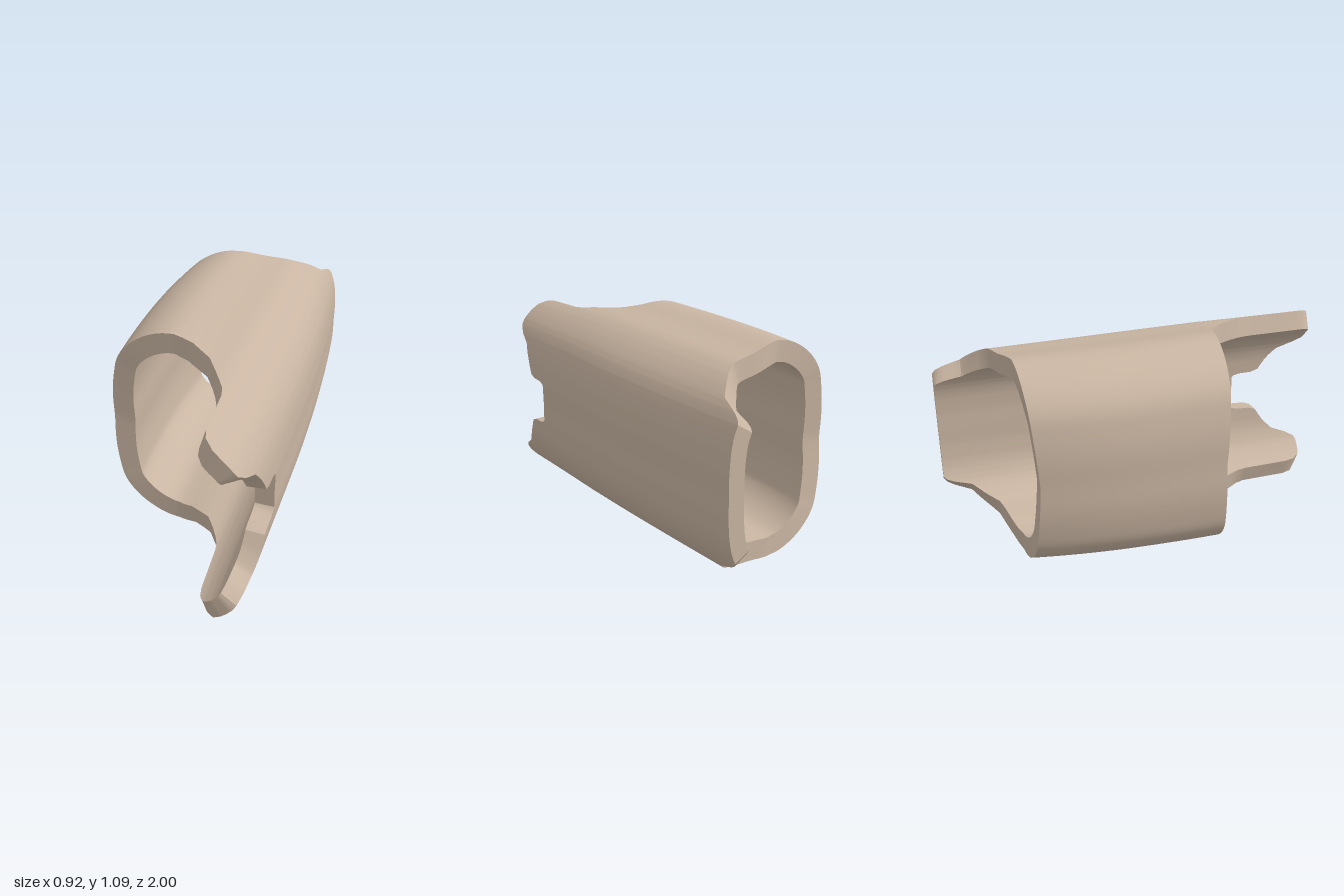
import * as THREE from 'three';
import { toCreasedNormals } from 'three/addons/utils/BufferGeometryUtils.js';

const MID = 0.5435; // height of the mirror plane
const LENGTH_STEPS = 24;

// Upper half of the outer cross-section, from the right middle over the top to the left middle
const section = new THREE.CatmullRomCurve3([
  [0.455, 0.545], [0.455, 0.66], [0.435, 0.8], [0.38, 0.91], [0.3, 0.985], [0.205, 1.035], [0.05, 1.06],
  [-0.12, 1.087], [-0.23, 1.065], [-0.34, 1.0], [-0.415, 0.91], [-0.445, 0.8], [-0.46, 0.68], [-0.46, 0.545],
].map(([x, y]) => new THREE.Vector3(x, y, 0)));
const LAST = 13;

// End outlines: [position along the section, z]
const frontEdge = [
  [0, 0.61], [0.8, 0.61], [0.9, 0.62], [0.98, 0.65], [1, 0.72], [1.1, 0.76], [1.57, 0.8], [2.2, 0.86],
  [2.55, 0.94], [2.9, 0.99], [3.2, 1], [3.9, 1], [4.4, 0.99], [4.85, 0.95], [4.97, 0.9], [5, 0.65],
  [5.1, 0.6], [5.3, 0.55], [5.8, 0.42], [6.4, 0.35], [7, 0.325], [13, 0.29],
];
const backEdge = [
  [0, -1], [2.55, -1], [2.75, -0.985], [2.95, -0.95], [3.35, -0.86], [4.5, -0.77], [5, -0.735],
  [6, -0.7], [7, -0.655], [13, -0.6],
];

function lookUp(table, u) {
  const k = Math.max(1, table.findIndex(([p]) => p >= u));
  const [a, za] = table[k - 1], [b, zb] = table[k];
  return THREE.MathUtils.lerp(za, zb, (u - a) / (b - a));
}

// Slight bow of the side walls and taper towards the back
function warp(x, y, z) {
  const right = z < 0.2 ? -0.045 * (z - 0.2) ** 2 : 0;
  const left = (z < -0.15 ? 0.17 : 0.09) * (z + 0.15) ** 2;
  const t = THREE.MathUtils.clamp((x + 0.46) / 0.92, 0, 1);
  const s = 1 - 0.051 * Math.max(0, 0.33 - z);
  return [x + THREE.MathUtils.lerp(left, right, t), MID + (y - MID) * s, z];
}

// Full ring of outer and inner points with their front and back z
function makeRing() {
  const us = new Set([...frontEdge, ...backEdge].map(([u]) => u));
  for (let i = 0; i <= LAST * 4; i++) us.add(i / 4);
  const half = [...us].sort((a, b) => a - b).map((u) => {
    const p = section.getPoint(u / LAST);
    const d = section.getTangent(u / LAST);
    if (u === 0 || u === LAST) d.set(0, u === 0 ? 1 : -1, 0);
    const wall = 0.095 + 0.015 * u / LAST;
    return {
      outer: [p.x, p.y], inner: [p.x - d.y * wall, p.y + d.x * wall],
      front: lookUp(frontEdge, u), back: lookUp(backEdge, u),
    };
  });
  const flip = ([x, y]) => [x, 2 * MID - y];
  const lower = half.slice(1, -1).reverse()
    .map((r) => ({ ...r, outer: flip(r.outer), inner: flip(r.inner) }));
  return [...half, ...lower];
}

// Skin between successive closed loops
function skin(loops) {
  const n = loops[0].length, index = [];
  for (let j = 0; j < loops.length - 1; j++) {
    for (let i = 0; i < n; i++) {
      const a = j * n + i, b = j * n + (i + 1) % n;
      index.push(a, a + n, b, b, a + n, b + n);
    }
  }
  const geometry = new THREE.BufferGeometry();
  geometry.setAttribute('position', new THREE.Float32BufferAttribute(loops.flat(2), 3));
  geometry.setIndex(index);
  geometry.computeVertexNormals();
  return geometry;
}

export function createModel() {
  const group = new THREE.Group();
  group.name = 'sleeve';
  const material = new THREE.MeshStandardMaterial({ color: 0xc9b5a2 });
  const ring = makeRing();
  const loop = (side, t) => ring.map((r) => warp(...r[side], THREE.MathUtils.lerp(r.front, r.back, t)));
  const walls = (side) => Array.from({ length: LENGTH_STEPS + 1 }, (_, j) => loop(side, j / LENGTH_STEPS));

  const add = (name, geometry) => {
    const mesh = new THREE.Mesh(geometry, material);
    mesh.name = name;
    group.add(mesh);
  };
  add('outerWall', skin(walls('outer')));
  add('innerWall', skin(walls('inner').reverse()));
  add('backRim', toCreasedNormals(skin([loop('outer', 1), loop('inner', 1)]), 0.6));
  add('frontRim', toCreasedNormals(skin([loop('inner', 0), loop('outer', 0)]), 0.6));
  return group;
}
